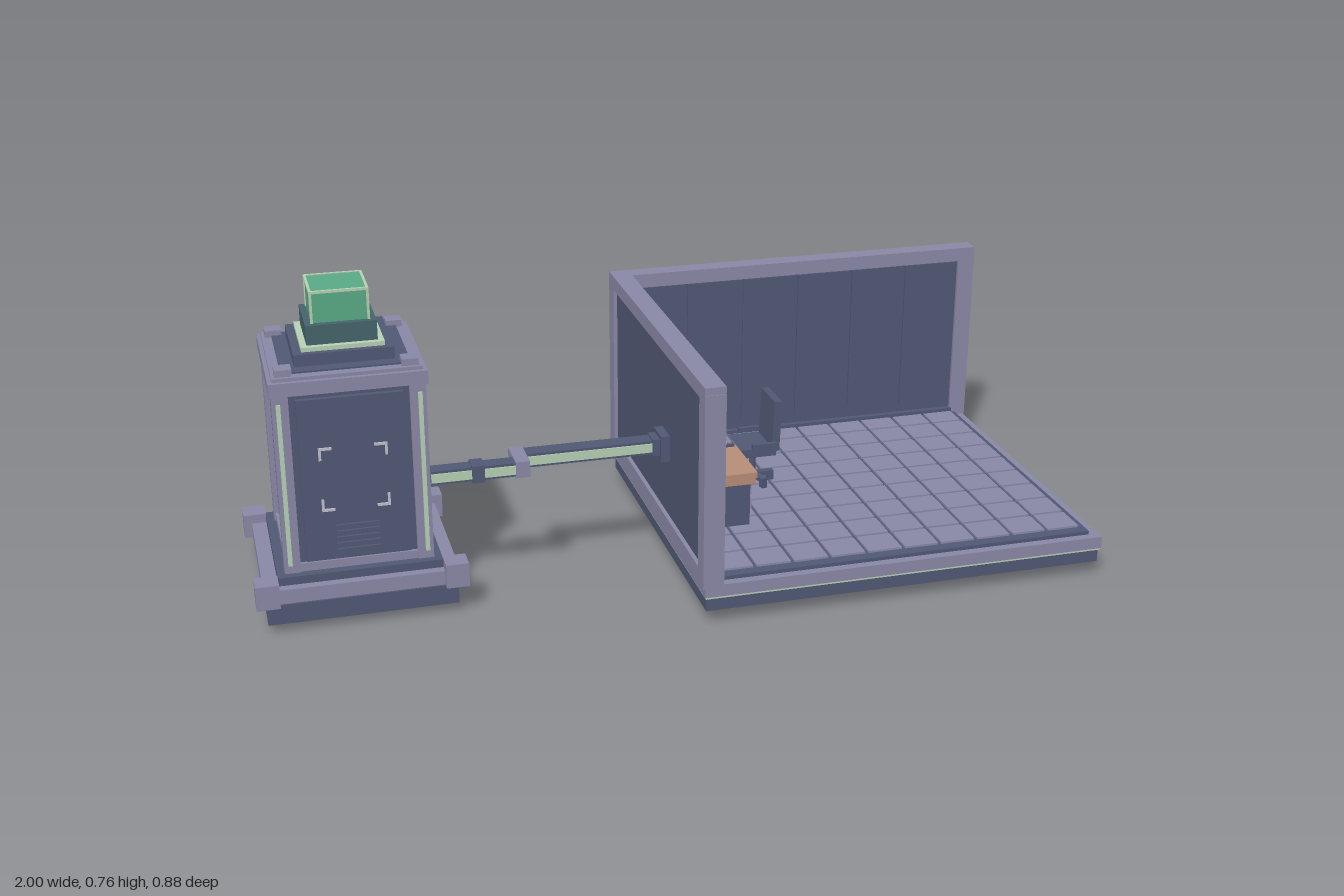
import * as THREE from 'three';

const mat = (name, color, side = THREE.FrontSide) =>
  Object.assign(new THREE.MeshStandardMaterial({ color, side }), { name });

export function createModel() {
  const M = {
    slate: mat('slate', 0x525975), lilac: mat('lilac', 0x8b8aa8), green: mat('green', 0x5aab87),
    teal: mat('teal', 0x45656b), mint: mat('pale mint', 0xb9d3b6), wood: mat('wood', 0xb98f78),
    blue: mat('screen blue', 0x37457f), grey: mat('light grey', 0xc0c2cd),
  };
  const root = new THREE.Group();
  root.name = 'serverAndOffice';
  const group = (name, x = 0, y = 0, z = 0) => {
    const g = new THREE.Group();
    g.name = name;
    g.position.set(x, y, z);
    root.add(g);
    return g;
  };
  // Box given by its limits on each axis
  const box = (g, name, m, x0, x1, y0, y1, z0, z1) => {
    const b = new THREE.Mesh(new THREE.BoxGeometry(x1 - x0, y1 - y0, z1 - z0), m);
    b.position.set((x0 + x1) / 2, (y0 + y1) / 2, (z0 + z1) / 2);
    b.name = name;
    g.add(b);
    return b;
  };
  // Box centred on the vertical axis of its group
  const slab = (g, name, m, hx, y0, y1, hz = hx) => box(g, name, m, -hx, hx, y0, y1, -hz, hz);
  const cyl = (g, name, m, r, x, y0, y1, z, n = 12) => {
    const c = new THREE.Mesh(new THREE.CylinderGeometry(r, r, y1 - y0, n), m);
    c.position.set(x, (y0 + y1) / 2, z);
    c.name = name;
    g.add(c);
  };
  const corners = [[1, 1], [1, -1], [-1, 1], [-1, -1]];
  // Four L-shaped corner marks; put(u0, u1, v0, v1) places one bar
  const brackets = (u, v, hu, hv, len, t, put) => corners.forEach(([a, b]) => {
    const U = u + a * hu, V = v + b * hv;
    put(Math.min(U, U - a * len), Math.max(U, U - a * len), Math.min(V, V - b * t), Math.max(V, V - b * t));
    put(Math.min(U, U - a * t), Math.max(U, U - a * t), Math.min(V, V - b * len), Math.max(V, V - b * len));
  });

  // Server tower: base
  const tower = group('serverTower', -0.756, 0, 0);
  slab(tower, 'baseLower', M.slate, 0.22, 0.022, 0.07, 0.212);
  slab(tower, 'baseUpper', M.lilac, 0.225, 0.07, 0.105, 0.207);
  slab(tower, 'plinth', M.slate, 0.19, 0.105, 0.125, 0.185);
  for (const [a, b] of corners) {
    const at = (name, m, p, q, y0, y1, r, s) => box(tower, name, m,
      Math.min(a * p, a * q), Math.max(a * p, a * q), y0, y1, Math.min(b * r, b * s), Math.max(b * r, b * s));
    cyl(tower, 'foot', M.slate, 0.022, a * 0.157, 0, 0.024, b * 0.142);
    at('baseCorner', M.lilac, 0.19, 0.244, 0.068, 0.127, 0.172, 0.225);
    at('cornerPost', M.lilac, 0.135, 0.172, 0.125, 0.565, 0.13, 0.167);
    at('roofCorner', M.lilac, 0.122, 0.16, 0.6, 0.616, 0.117, 0.155);
  }
  // Tower body and roof
  slab(tower, 'body', M.slate, 0.16, 0.125, 0.565, 0.155);
  slab(tower, 'lowerRail', M.lilac, 0.168, 0.125, 0.145, 0.163);
  slab(tower, 'cap', M.lilac, 0.177, 0.56, 0.592, 0.175);
  slab(tower, 'roof', M.lilac, 0.168, 0.592, 0.6, 0.164);
  slab(tower, 'roofPanel', M.slate, 0.145, 0.6, 0.604, 0.14);
  slab(tower, 'beaconBase', M.slate, 0.113, 0.604, 0.632, 0.109);
  slab(tower, 'beaconRing', M.mint, 0.094, 0.632, 0.642);
  slab(tower, 'beaconCollar', M.teal, 0.08, 0.642, 0.688);
  // Glowing cube with pale edges
  slab(tower, 'beaconCube', M.green, 0.064, 0.688, 0.761);
  for (const [a, b] of corners) {
    box(tower, 'cubeEdge', M.mint, a * 0.064 - 0.003, a * 0.064 + 0.003, 0.688, 0.763, b * 0.064 - 0.003, b * 0.064 + 0.003);
  }
  for (const s of [-1, 1]) {
    box(tower, 'cubeTopEdge', M.mint, -0.064, 0.064, 0.757, 0.763, s * 0.064 - 0.003, s * 0.064 + 0.003);
    box(tower, 'cubeTopEdge', M.mint, s * 0.064 - 0.003, s * 0.064 + 0.003, 0.757, 0.763, -0.064, 0.064);
    box(tower, 'lightStrip', M.mint, s * 0.158 - 0.005, s * 0.158 + 0.005, 0.145, 0.54, 0.163, 0.171);
  }
  // Front door with corner marks and vent
  box(tower, 'door', M.slate, -0.12, 0.12, 0.15, 0.545, 0.15, 0.168);
  brackets(0, 0.35, 0.078, 0.078, 0.03, 0.006, (u0, u1, v0, v1) =>
    box(tower, 'doorMark', M.grey, u0, u1, v0, v1, 0.167, 0.172));
  for (let i = 0; i < 5; i++) {
    box(tower, 'vent', M.slate, -0.05, 0.05, 0.168 + i * 0.015, 0.176 + i * 0.015, 0.167, 0.174);
  }
  // Rack units with status lights on the model's left side
  for (let i = 0; i < 8; i++) {
    const y = 0.155 + i * 0.05;
    box(tower, 'rackUnit', M.slate, 0.155, 0.172, y, y + 0.036, -0.122, 0.122);
    for (let j = 0; j < 8; j++) {
      box(tower, 'statusLight', (i + j) % 3 ? M.lilac : M.mint, 0.17, 0.177,
        y + 0.011, y + 0.025, -0.108 + j * 0.028, -0.09 + j * 0.028);
    }
  }

  // Cable duct between tower and room
  const duct = group('cableDuct');
  box(duct, 'ductNear', M.slate, -0.6, -0.36, 0.298, 0.332, 0.11, 0.148);
  box(duct, 'ductElbow', M.lilac, -0.382, -0.348, 0.295, 0.335, 0.058, 0.152);
  box(duct, 'ductFar', M.slate, -0.36, 0, 0.298, 0.332, 0.062, 0.104);
  box(duct, 'ductCollar', M.slate, -0.485, -0.455, 0.294, 0.336, 0.106, 0.153);
  box(duct, 'wallSocket', M.slate, -0.022, 0, 0.28, 0.346, 0.05, 0.118);
  box(duct, 'ductCollar', M.slate, -0.04, -0.02, 0.294, 0.336, 0.058, 0.108);
  box(duct, 'ductLight', M.mint, -0.58, -0.382, 0.304, 0.326, 0.147, 0.151);
  box(duct, 'ductLight', M.mint, -0.348, -0.04, 0.304, 0.326, 0.103, 0.107);

  // Room base and tiled floor
  const room = group('room');
  box(room, 'baseLower', M.slate, 0, 0.99, 0.035, 0.068, -0.43, 0.43);
  box(room, 'baseLight', M.mint, -0.002, 0.993, 0.067, 0.072, -0.434, 0.434);
  box(room, 'baseUpper', M.lilac, -0.004, 0.995, 0.072, 0.102, -0.436, 0.436);
  box(room, 'floor', M.slate, 0.02, 0.97, 0.1, 0.111, -0.41, 0.415);
  for (let i = 0; i < 10; i++) for (let j = 0; j < 9; j++) {
    const x0 = 0.042 + i * 0.0925, z0 = -0.4 + j * 0.0885;
    box(room, 'floorTile', M.lilac, x0, Math.min(x0 + 0.084, 0.955), 0.108, 0.116, z0, z0 + 0.08);
  }
  // Side wall and back wall
  box(room, 'sideWall', M.slate, 0, 0.03, 0.1, 0.57, -0.43, 0.43);
  box(room, 'backWall', M.slate, 0, 0.99, 0.1, 0.57, -0.43, -0.4);
  for (let i = 0; i < 6; i++) {
    box(room, 'sideWallPanel', M.slate, 0.028, 0.036, 0.15, 0.55, -0.39 + i * 0.131, -0.266 + i * 0.131);
    box(room, 'backWallPanel', M.slate, 0.038 + i * 0.153, 0.184 + i * 0.153, 0.15, 0.55, -0.402, -0.394);
  }
  // Wall frames
  box(room, 'sideTopRail', M.lilac, -0.01, 0.04, 0.552, 0.588, -0.436, 0.436);
  box(room, 'backTopRail', M.lilac, -0.01, 1, 0.552, 0.588, -0.44, -0.392);
  box(room, 'sidePost', M.lilac, -0.01, 0.04, 0.096, 0.57, 0.393, 0.438);
  box(room, 'backPost', M.lilac, 0.955, 1, 0.096, 0.57, -0.44, -0.392);
  box(room, 'cornerPost', M.lilac, -0.01, 0.036, 0.096, 0.57, -0.44, -0.396);
  box(room, 'sideOuterRail', M.lilac, -0.01, 0, 0.1, 0.135, -0.43, 0.43);
  box(room, 'backOuterRail', M.lilac, 0, 0.99, 0.1, 0.135, -0.44, -0.43);
  box(room, 'sideSkirting', M.lilac, 0.028, 0.044, 0.116, 0.152, -0.395, 0.415);
  box(room, 'backSkirting', M.slate, 0.035, 0.957, 0.111, 0.125, -0.402, -0.385);
  // Wall lamp
  box(room, 'lampHousing', M.slate, 0.034, 0.055, 0.492, 0.517, -0.272, 0.106);
  box(room, 'lampGlow', M.grey, 0.054, 0.06, 0.496, 0.506, -0.252, 0.087);
  for (const z of [-0.255, 0.075]) box(room, 'lampBracket', M.slate, 0.034, 0.05, 0.484, 0.494, z, z + 0.014);

  // Desk with drawers
  const desk = group('desk');
  box(desk, 'deskTop', M.wood, 0.042, 0.198, 0.245, 0.26, -0.266, 0.191);
  box(desk, 'deskEdge', M.wood, 0.046, 0.194, 0.229, 0.245, -0.262, 0.187);
  box(desk, 'drawerUnit', M.slate, 0.046, 0.186, 0.116, 0.229, 0.105, 0.173);
  for (const y of [0.193, 0.157]) {
    box(desk, 'drawerFront', M.lilac, 0.185, 0.191, y, y + 0.03, 0.109, 0.169);
    box(desk, 'drawerHandle', M.grey, 0.19, 0.197, y + 0.012, y + 0.017, 0.124, 0.153);
  }
  box(desk, 'backBeam', M.slate, 0.06, 0.072, 0.17, 0.229, -0.23, 0.11);
  for (const x of [0.055, 0.165]) {
    box(desk, 'deskLeg', M.slate, x, x + 0.018, 0.116, 0.229, -0.24, -0.222);
    box(desk, 'deskFoot', M.slate, x - 0.004, x + 0.022, 0.114, 0.124, -0.245, -0.217);
  }
  // Monitor, keyboard and mouse
  box(desk, 'monitorFrame', M.slate, 0.108, 0.132, 0.287, 0.42, -0.168, 0.031);
  box(desk, 'monitorBack', M.slate, 0.085, 0.108, 0.31, 0.39, -0.12, -0.015);
  box(desk, 'screen', M.blue, 0.13, 0.136, 0.301, 0.409, -0.152, 0.016);
  brackets(-0.068, 0.355, 0.057, 0.056, 0.026, 0.004, (u0, u1, v0, v1) =>
    box(desk, 'screenMark', M.grey, 0.135, 0.139, v0, v1, u0, u1));
  box(desk, 'monitorNeck', M.slate, 0.092, 0.108, 0.262, 0.32, -0.082, -0.054);
  box(desk, 'monitorFoot', M.slate, 0.07, 0.13, 0.26, 0.268, -0.11, -0.026);
  box(desk, 'keyboard', M.slate, 0.142, 0.192, 0.26, 0.267, -0.128, 0.025);
  for (let i = 0; i < 3; i++) {
    box(desk, 'keyRow', M.lilac, 0.147 + i * 0.0145, 0.158 + i * 0.0145, 0.266, 0.27, -0.122, 0.019);
  }
  box(desk, 'mouse', M.lilac, 0.157, 0.183, 0.26, 0.27, -0.176, -0.154);
  // Desk lantern
  box(desk, 'lanternFoot', M.slate, 0.09, 0.122, 0.26, 0.274, 0.112, 0.146);
  box(desk, 'lanternBody', M.grey, 0.082, 0.13, 0.273, 0.326, 0.105, 0.152);
  box(desk, 'lanternTop', M.mint, 0.08, 0.132, 0.326, 0.332, 0.103, 0.154);
  // Potted plant
  box(desk, 'plantPot', M.lilac, 0.062, 0.11, 0.26, 0.295, -0.24, -0.192);
  box(desk, 'plantStem', M.green, 0.076, 0.1, 0.292, 0.36, -0.221, -0.195);
  box(desk, 'plantLeaf', M.green, 0.07, 0.095, 0.314, 0.33, -0.243, -0.176);
  box(desk, 'plantLeaf', M.green, 0.058, 0.115, 0.3, 0.322, -0.226, -0.2);
  box(desk, 'plantLeaf', M.green, 0.09, 0.112, 0.3, 0.32, -0.232, -0.19);

  // Swivel chair
  const chair = group('chair', 0.272, 0, -0.075);
  box(chair, 'seat', M.slate, -0.06, 0.045, 0.204, 0.226, -0.055, 0.055);
  box(chair, 'backrest', M.slate, 0.036, 0.056, 0.215, 0.347, -0.053, 0.053).rotation.z = -0.04;
  for (const s of [-1, 1]) {
    box(chair, 'armrest', M.slate, -0.02, 0.045, 0.229, 0.241, s * 0.058 - 0.005, s * 0.058 + 0.005);
  }
  cyl(chair, 'chairPost', M.slate, 0.009, 0, 0.13, 0.206, 0);
  for (let i = 0; i < 5; i++) {
    const leg = new THREE.Group();
    leg.name = 'chairLeg';
    leg.rotation.y = i * Math.PI * 0.4;
    box(leg, 'legBar', M.slate, 0, 0.055, 0.131, 0.142, -0.008, 0.008);
    box(leg, 'caster', M.slate, 0.04, 0.056, 0.116, 0.132, -0.007, 0.007);
    chair.add(leg);
  }
  return root;
}
